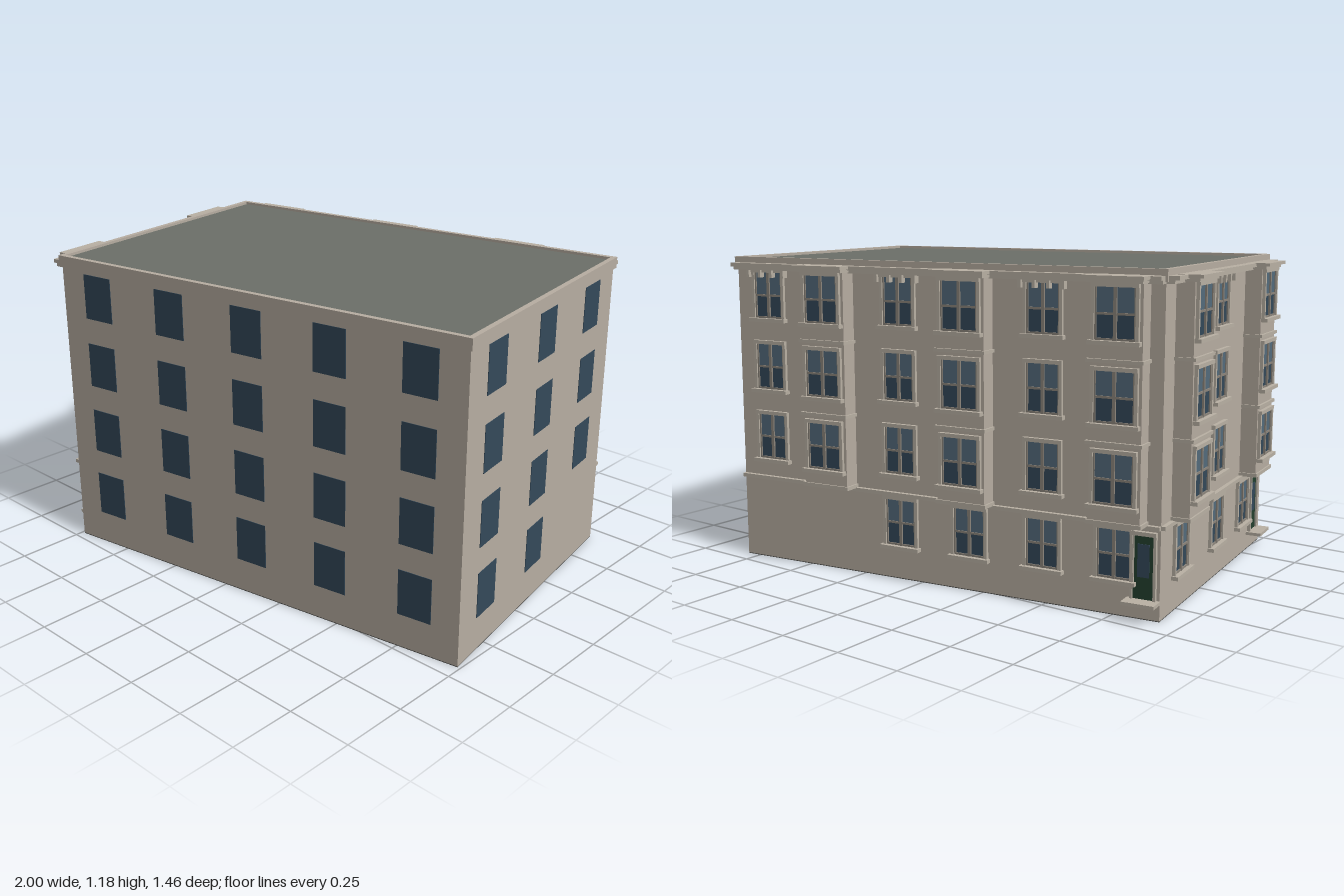
import * as THREE from 'three';

const W = 1.748, D = 1.139, TURN = THREE.MathUtils.degToRad(9.2);
const SILLS = [0.13, 0.402, 0.676, 0.95];      // window bottoms, one per storey
const GLASS_H = 0.174, GLASS_W = 0.132;

const paint = (color) => new THREE.MeshStandardMaterial({ color, flatShading: true });
const MAT = {
  wall: paint(0xb8aea2), trim: paint(0xbab2a5), roof: paint(0x6c7069), base: paint(0x555552),
  glass: paint(0x34495a), paleGlass: paint(0x546b7c), frame: paint(0x8d867c), door: paint(0x24402f),
};

// Box given by its centre in x, its bottom in y, and its back in z
function block(parent, name, mat, x, y, z, w, h, d) {
  const mesh = new THREE.Mesh(new THREE.BoxGeometry(w, h, d), mat);
  mesh.position.set(x, y + h / 2, z + d / 2);
  mesh.name = name;
  parent.add(mesh);
  return mesh;
}

// Wall frame: x runs left to right seen from outside, z points outward
function facade(parent, name, x, z, angle) {
  const g = new THREE.Group();
  g.name = name;
  g.position.set(x, 0, z);
  g.rotation.y = angle;
  parent.add(g);
  return g;
}

// Flat pane on the plain walls
function plainPane(parent, x, y) {
  block(parent, 'plainWindow', MAT.glass, x, y, -0.004, GLASS_W, GLASS_H, 0.006);
}

// Two-light sash window with casing, head and sill
function sashWindow(parent, x, y, z, w) {
  const g = new THREE.Group();
  g.name = 'sashWindow';
  g.position.set(x, y, z);
  parent.add(g);
  const h = GLASS_H, t = 0.012;
  block(g, 'lowerGlass', MAT.glass, 0, 0, -0.003, w, h / 2, 0.005);
  block(g, 'upperGlass', MAT.paleGlass, 0, h / 2, -0.003, w, h / 2, 0.006);
  for (const s of [-1, 1]) {
    block(g, 'casing', MAT.trim, s * (w / 2 + t / 2), 0, -0.003, t, h, 0.015);
    block(g, 'stile', MAT.frame, s * (w / 2 - 0.003), 0, -0.003, 0.006, h, 0.01);
  }
  block(g, 'mullion', MAT.frame, 0, 0, -0.003, 0.012, h, 0.012);
  block(g, 'meetingRail', MAT.frame, 0, h / 2 - 0.004, -0.003, w, 0.008, 0.01);
  block(g, 'bottomRail', MAT.frame, 0, 0, -0.003, w, 0.007, 0.01);
  block(g, 'head', MAT.trim, 0, h, -0.003, w + 2 * t, 0.014, 0.018);
  block(g, 'sill', MAT.trim, 0, -0.014, -0.003, w + 2 * t + 0.016, 0.014, 0.028);
}

// Box bay rising over the upper three storeys
function bay(parent, x) {
  const g = new THREE.Group();
  g.name = 'bay';
  g.position.x = x;
  parent.add(g);
  const w = 0.19, p = 0.065;
  block(g, 'bayBody', MAT.wall, 0, 0.335, 0, w, 0.805, p);
  block(g, 'bayFoot', MAT.trim, 0, 0.33, 0, w + 0.012, 0.014, p + 0.006);
  for (const y of [0.602, 0.876]) block(g, 'bayBelt', MAT.trim, 0, y, 0, w + 0.014, 0.012, p + 0.01);
  block(g, 'bayCorniceLower', MAT.trim, 0, 1.137, 0, w + 0.008, 0.012, p + 0.017);
  block(g, 'bayCorniceUpper', MAT.trim, 0, 1.149, 0, w + 0.026, 0.012, p + 0.032);
  for (const y of SILLS.slice(1)) sashWindow(g, 0, y, p, 0.145);
}

// Belt, main cornice and the brackets under it
function mouldings(parent, length, bracketCentres) {
  const mid = length / 2;
  block(parent, 'beltCourse', MAT.trim, mid, 0.318, 0, length, 0.014, 0.016);
  block(parent, 'corniceLower', MAT.trim, mid, 1.134, 0, length, 0.012, 0.03);
  block(parent, 'corniceUpper', MAT.trim, mid, 1.146, 0, length, 0.014, 0.045);
  for (const c of bracketCentres) {
    for (const k of [-1.5, -0.5, 0.5, 1.5]) {
      block(parent, 'bracket', MAT.trim, c + k * 0.054, 1.106, 0, 0.012, 0.028, 0.026);
    }
  }
}

// Entrance door with panelled glass, surround and step
function entrance(parent, x) {
  block(parent, 'door', MAT.door, x, 0.073, -0.003, 0.075, 0.222, 0.009);
  block(parent, 'doorGlass', MAT.glass, x, 0.15, 0.004, 0.043, 0.115, 0.004);
  for (const s of [-1, 1]) block(parent, 'doorJamb', MAT.trim, x + s * 0.042, 0.073, 0, 0.01, 0.222, 0.014);
  block(parent, 'doorHead', MAT.trim, x, 0.295, 0, 0.094, 0.014, 0.016);
  block(parent, 'doorStep', MAT.trim, x, 0.061, 0, 0.12, 0.012, 0.06);
}

export function createModel() {
  const model = new THREE.Group();
  model.name = 'apartmentBlock';
  const house = new THREE.Group();
  house.name = 'building';
  house.position.set(0.035, 0, 0.015);
  house.rotation.y = TURN;
  model.add(house);

  // Main mass and roof
  block(house, 'base', MAT.base, 0, 0, -D / 2, W, 0.003, D);
  block(house, 'walls', MAT.wall, 0, 0.003, -D / 2, W, 1.157, D);
  block(house, 'roof', MAT.roof, 0, 1.16, -D / 2, W, 0.012, D);

  // Parapet rim
  const rim = 0.02, out = 0.009;
  for (const s of [-1, 1]) {
    block(house, 'parapet', MAT.wall, 0, 1.14, s * (D / 2 + out - rim / 2) - rim / 2, W + 2 * out, 0.042, rim);
    block(house, 'parapet', MAT.wall, s * (W / 2 + out - rim / 2), 1.14, -D / 2 - out + rim, rim, 0.042, D + 2 * out - 2 * rim);
  }

  // Plain front and right walls
  const front = facade(house, 'frontWall', -W / 2, D / 2, 0);
  const right = facade(house, 'rightWall', W / 2, D / 2, Math.PI / 2);
  SILLS.forEach((y, floor) => {
    for (let i = 0; i < 5; i++) plainPane(front, (i + 0.5) * W / 5, y);
    for (let i = 0; i < (floor === 0 ? 2 : 3); i++) plainPane(right, (i + 0.5) * D / 3, y);
  });

  // Street wall at the back: plain and bay columns alternate
  const back = facade(house, 'backWall', W / 2, -D / 2, Math.PI);
  const col = (i) => (i + 0.5) * W / 6;
  for (const i of [0, 2, 4]) {
    for (const y of SILLS.slice(1)) sashWindow(back, col(i), y, 0, 0.125);
    bay(back, col(i + 1));
  }
  for (const x of [col(2), col(3), col(4), col(5) - 0.02]) sashWindow(back, x, SILLS[0], 0, 0.125);
  entrance(back, 1.69);
  mouldings(back, W, [col(0), col(2), col(4)]);

  // Street wall on the side: a bay at each end
  const side = facade(house, 'sideWall', -W / 2, -D / 2, -Math.PI / 2);
  const mid = D / 2;
  for (const y of SILLS.slice(1)) sashWindow(side, mid, y, 0, 0.125);
  for (const x of [D / 6, D * 5 / 6]) bay(side, x);
  for (const x of [D / 6, mid, 0.89]) sashWindow(side, x, SILLS[0], 0, 0.125);
  entrance(side, 1.03);
  mouldings(side, D, [mid]);

  return model;
}
